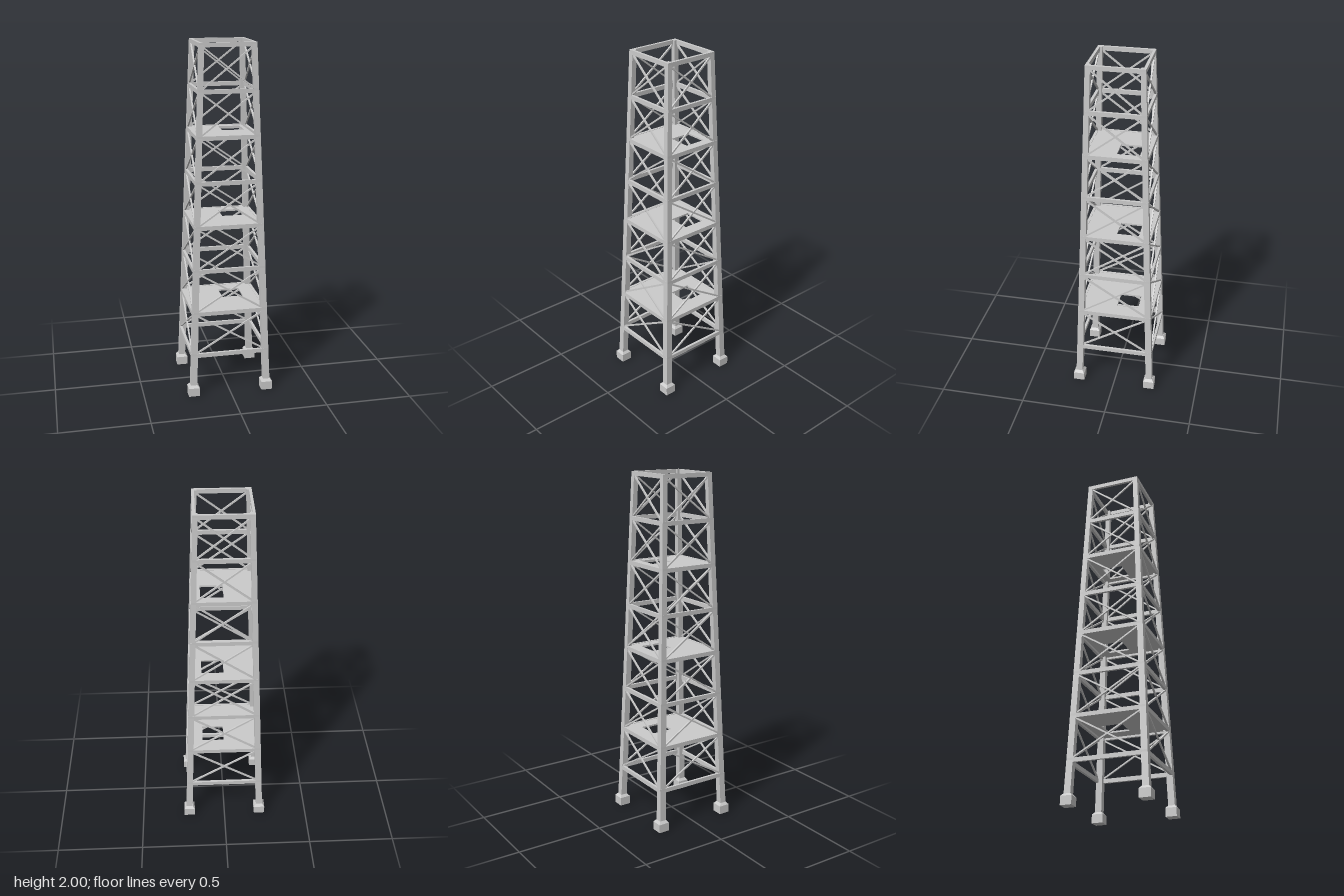
import * as THREE from 'three';

const material = new THREE.MeshStandardMaterial({ color: 0xcccccc, flatShading: true });

// Half width of the tower's outer faces, and leg thickness, at height y
const outer = (y) => 0.236 - 0.039 * y;
const legSize = (y) => 0.038 - 0.005 * y;

function part(name, geometry, parent) {
  const mesh = new THREE.Mesh(geometry, material);
  mesh.name = name;
  parent.add(mesh);
  return mesh;
}

// Square prism between two heights; each end has its own centre (c, c) and width
function taperedPost(y0, c0, w0, y1, c1, w1) {
  const geo = new THREE.BoxGeometry(1, 1, 1);
  const p = geo.attributes.position;
  for (let i = 0; i < p.count; i++) {
    const top = p.getY(i) > 0;
    const c = top ? c1 : c0, w = top ? w1 : w0;
    p.setXYZ(i, c + p.getX(i) * w, top ? y1 : y0, c + p.getZ(i) * w);
  }
  geo.computeVertexNormals();
  return geo;
}

// Square bar from point a to point b
function bar(name, a, b, size, parent) {
  const dir = b.clone().sub(a);
  const mesh = part(name, new THREE.BoxGeometry(size, dir.length(), size), parent);
  mesh.position.copy(a).add(b).multiplyScalar(0.5);
  mesh.quaternion.setFromUnitVectors(new THREE.Vector3(0, 1, 0), dir.normalize());
}

export function createModel() {
  const tower = new THREE.Group();
  tower.name = 'latticeTower';

  const beamH = 0.024, beamD = 0.015;
  const levels = Array.from({ length: 8 }, (_, i) => (i === 7 ? 1.988 : 0.242 + i * 0.25));

  for (let k = 0; k < 4; k++) {
    const side = new THREE.Group();
    side.name = 'side' + (k + 1);
    side.rotation.y = (k * Math.PI) / 2;
    tower.add(side);

    // Corner leg on a chamfered footing
    const legCentre = (y) => outer(y) - legSize(y) / 2;
    part('leg', taperedPost(0.04, legCentre(0.04), legSize(0.04), 2, legCentre(2), legSize(2)), side);
    const footC = 0.215;
    part('footing', taperedPost(0, footC, 0.064, 0.049, footC, 0.064), side);
    part('footingChamfer', taperedPost(0.049, footC, 0.064, 0.063, footC, 0.04), side);

    // Horizontal beams, flush with the outer face
    levels.forEach((y) => {
      const half = outer(y) - 0.003;
      const beam = part('beam', new THREE.BoxGeometry(half * 2, beamH, beamD), side);
      beam.position.set(0, y, outer(y) - beamD / 2);
    });

    // Crossed braces in each bay
    for (let i = 0; i < levels.length - 1; i++) {
      const y0 = levels[i] + beamH / 2, y1 = levels[i + 1] - beamH / 2;
      const z0 = outer(y0) - beamD / 2, z1 = outer(y1) - beamD / 2;
      const x0 = outer(y0) - legSize(y0) * 0.8, x1 = outer(y1) - legSize(y1) * 0.8;
      for (const s of [-1, 1]) {
        bar('brace', new THREE.Vector3(-s * x0, y0, z0), new THREE.Vector3(s * x1, y1, z1), 0.009, side);
      }
    }
  }

  // Platforms on every second level, each with a square hatch
  for (const i of [1, 3, 5]) {
    const y = levels[i], h = outer(y) - 0.008, t = 0.01, hatch = 0.125;
    const shape = new THREE.Shape();
    shape.moveTo(-h, -h).lineTo(h, -h).lineTo(h, h).lineTo(-h, h).closePath();
    const hole = new THREE.Path();
    hole.moveTo(0, 0).lineTo(0, hatch).lineTo(hatch, hatch).lineTo(hatch, 0).closePath();
    shape.holes.push(hole);
    const geo = new THREE.ExtrudeGeometry(shape, { depth: t, bevelEnabled: false });
    geo.rotateX(-Math.PI / 2);
    part('platform', geo, tower).position.y = y + beamH / 2 - t - 0.002;
  }

  return tower;
}
